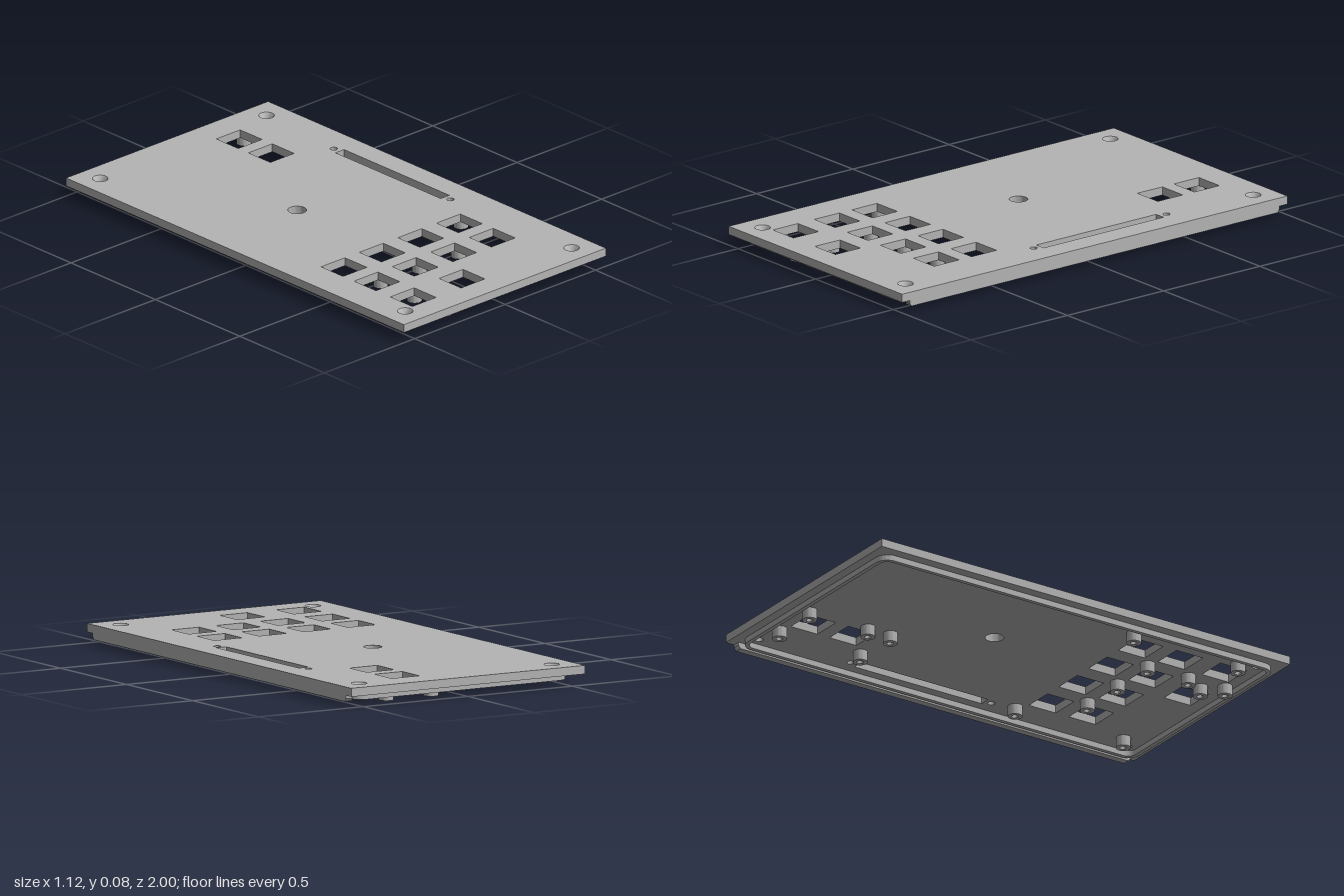
import * as THREE from 'three';
import { toCreasedNormals } from 'three/addons/utils/BufferGeometryUtils.js';

const TOP = 0.08, UNDER = 0.045;

const circle = (x, z, r) => new THREE.Path().absarc(x, z, r, 0, Math.PI * 2, true);

function rect(x0, x1, z0, z1, Type = THREE.Path) {
  return new Type([[x0, z0], [x1, z0], [x1, z1], [x0, z1]].map(([x, z]) => new THREE.Vector2(x, z)));
}

function roundRect(w, d, r, Type) {
  const p = new Type();
  p.absarc(w - r, d - r, r, 0, Math.PI / 2);
  p.absarc(r - w, d - r, r, Math.PI / 2, Math.PI);
  p.absarc(r - w, r - d, r, Math.PI, Math.PI * 1.5);
  p.absarc(w - r, r - d, r, Math.PI * 1.5, Math.PI * 2);
  p.closePath();
  return p;
}

// Extrude a plan drawn in x and z from height top down to bottom
function slab(shape, top, bottom) {
  const g = new THREE.ExtrudeGeometry(shape, { depth: top - bottom, bevelEnabled: false, curveSegments: 16 });
  g.rotateX(Math.PI / 2).translate(0, top, 0);
  return toCreasedNormals(g, 0.6);
}

export function createModel() {
  const model = new THREE.Group();
  const grey = new THREE.MeshStandardMaterial({ color: 0xb4b4b4 });
  grey.name = 'plainGrey';
  const add = (name, geometry) => {
    const m = new THREE.Mesh(geometry, grey);
    m.name = name;
    model.add(m);
    return m;
  };

  // Face plate with button windows, slider slot and round holes
  const plate = rect(-0.56, 0.557, -1, 1, THREE.Shape);
  const windows = [[0.215, -0.805], [0.215, -0.615], [-0.345, 0.825], [-0.075, 0.825]];
  for (const z of [0.415, 0.61])
    for (const x of [-0.345, -0.133, 0.08, 0.293]) windows.push([x, z]);
  for (const [x, z] of windows) plate.holes.push(rect(x - 0.066, x + 0.066, z - 0.065, z + 0.065));
  plate.holes.push(rect(0.407, 0.454, -0.44, 0.183));
  plate.holes.push(circle(0.43, -0.475, 0.015), circle(0.43, 0.215, 0.015), circle(-0.095, -0.13, 0.038));
  const screws = [[-0.462, -0.903], [0.458, -0.903], [-0.462, 0.903], [0.458, 0.903]];
  for (const [x, z] of screws) plate.holes.push(circle(x, z, 0.032));
  add('facePlate', slab(plate, TOP, UNDER));

  // Countersunk seats in the corner holes
  const seat = toCreasedNormals(new THREE.LatheGeometry(
    [[0.017, UNDER], [0.032, UNDER], [0.032, TOP], [0.018, 0.06], [0.017, UNDER]]
      .map(([r, y]) => new THREE.Vector2(r, y)), 32), 0.6);
  for (const [x, z] of screws) add('screwSeat', seat).position.set(x, 0, z);

  // Thin locating rim with corners rounded about the screw holes
  const rim = roundRect(0.515, 0.96, 0.055, THREE.Shape);
  rim.holes.push(roundRect(0.497, 0.942, 0.037, THREE.Path));
  add('locatingRim', slab(rim, UNDER, 0.021));

  // Side lip with chamfered ends, flush with the plate edge
  const lip = new THREE.Shape([[-0.96, UNDER], [-0.96, 0.032], [-0.95, 0.019],
    [0.95, 0.019], [0.96, 0.032], [0.96, UNDER]].map(([z, y]) => new THREE.Vector2(z, y)));
  const lipGeometry = new THREE.ExtrudeGeometry(lip, { depth: 0.032, bevelEnabled: false });
  lipGeometry.rotateY(Math.PI / 2).translate(0.524, 0, 0);
  add('sideLip', lipGeometry);

  // Hollow standoffs under the plate
  const ring = new THREE.Shape().absarc(0, 0, 0.03, 0, Math.PI * 2);
  ring.holes.push(circle(0, 0, 0.014));
  const standoff = slab(ring, UNDER, 0);
  const spots = [[0.325, -0.895], [0.11, -0.895], [0.325, -0.5], [0.11, -0.61], [0.11, -0.5],
    [0.4, 0.31], [0.19, 0.52], [-0.025, 0.52], [-0.24, 0.52], [-0.45, 0.31],
    [0.4, 0.84], [-0.18, 0.82], [-0.24, 0.72], [-0.24, 0.9], [-0.45, 0.82]];
  for (const [x, z] of spots) add('standoff', standoff).position.set(x, 0, z);

  return model;
}
